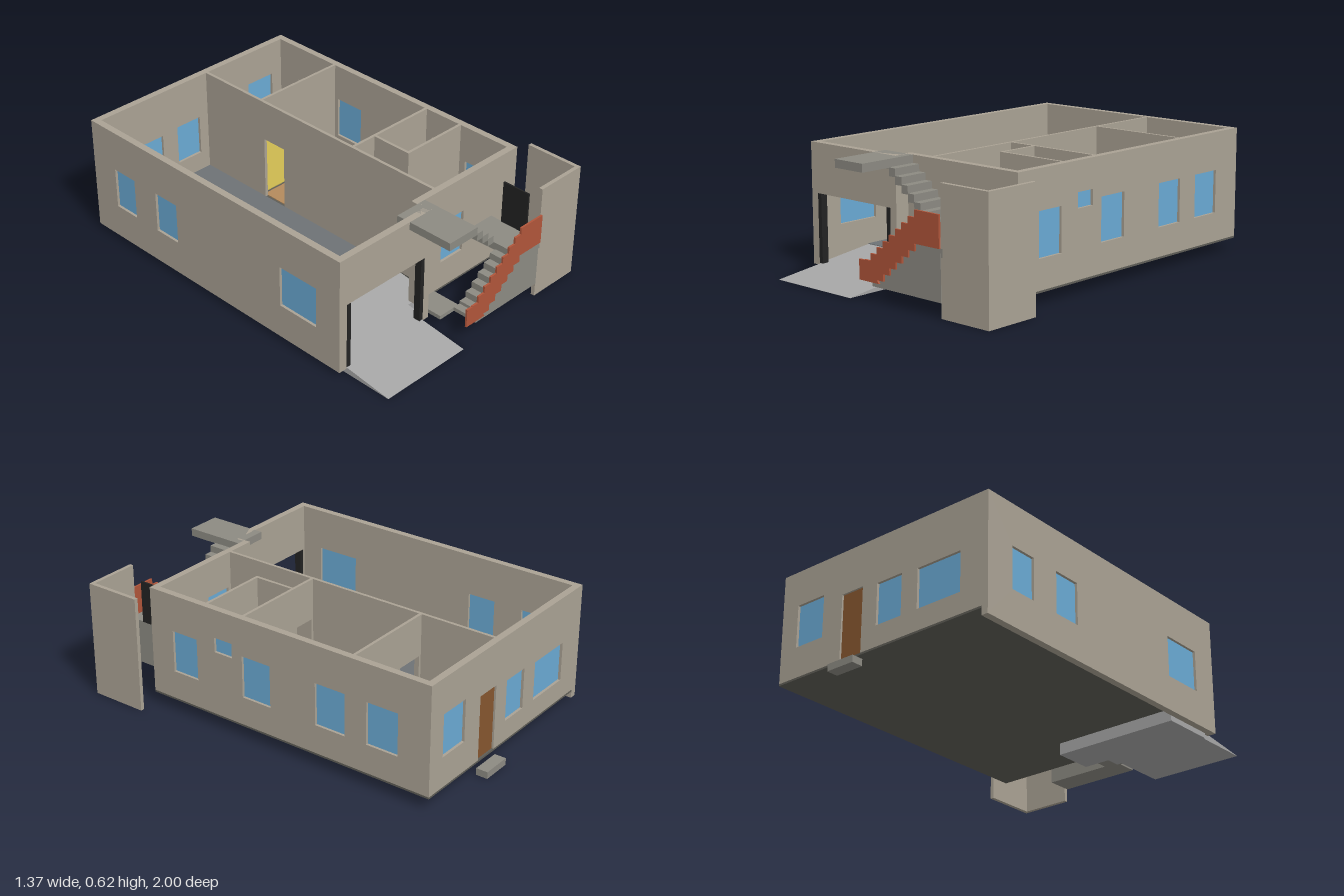
import * as THREE from 'three';

const COLORS = {
  wall: 0xaaa294, concrete: 0x8c8a82, ramp: 0xa6a6a6, slab: 0x5e5d56, parking: 0x6e7275, glass: 0x6aaad4,
  rail: 0xb0553a, black: 0x222222, wood: 0x86562f, kitchen: 0xccb850, hall: 0xb48a5c,
  bedroom: 0x4a74b4, bath: 0x3ea094, linen: 0xd2cdc0, white: 0xdcdcdc,
};
const mats = {};
for (const k in COLORS) mats[k] = new THREE.MeshStandardMaterial({ color: COLORS[k] });

export function createModel() {
  const root = new THREE.Group();
  const add = (name, mat, geo) => {
    const m = new THREE.Mesh(geo, mats[mat]);
    m.name = name;
    root.add(m);
    return m;
  };
  // Box given by its limits on each axis
  const box = (name, mat, x0, x1, y0, y1, z0, z1) => {
    const g = new THREE.BoxGeometry(x1 - x0, y1 - y0, z1 - z0);
    g.translate((x0 + x1) / 2, (y0 + y1) / 2, (z0 + z1) / 2);
    return add(name, mat, g);
  };
  // Extrude an outline: along 'x' it is drawn in x,y; along 'z' it is drawn in z,y
  const extrude = (name, mat, axis, pts, pos, depth, holes = []) => {
    const shape = new THREE.Shape(pts.map(p => new THREE.Vector2(...p)));
    for (const [a, b, c, d] of holes) {
      shape.holes.push(new THREE.Path([[a, c], [a, d], [b, d], [b, c]].map(p => new THREE.Vector2(...p))));
    }
    const g = new THREE.ExtrudeGeometry(shape, { depth, bevelEnabled: false });
    if (axis === 'x') g.translate(0, 0, pos);
    else g.rotateY(-Math.PI / 2).translate(pos + depth, 0, 0);
    return add(name, mat, g);
  };
  // Wall with glazed windows [a0,a1,y0,y1] and doorways [a0,a1,top] from the ground
  const TOP = 0.62, FLOOR = 0.07;
  const wall = (name, axis, a0, a1, pos, depth, windows = [], doors = [], y0 = FLOOR) => {
    const pts = [[a0, y0]];
    for (const [d0, d1, top] of doors) pts.push([d0, y0], [d0, top], [d1, top], [d1, y0]);
    pts.push([a1, y0], [a1, TOP], [a0, TOP]);
    extrude(name, 'wall', axis, pts, pos, depth, windows);
    const p = pos + depth / 2 - 0.004, q = p + 0.008;
    for (const [a, b, c, d] of windows) {
      if (axis === 'x') box('windowPane', 'glass', a, b, c, d, p, q);
      else box('windowPane', 'glass', p, q, c, d, a, b);
    }
  };

  // Outer walls
  const T = 0.035;
  wall('leftSideWall', 'z', -0.94, 0.745, -0.685, T,
    [[-0.78, -0.635, 0.2, 0.41], [-0.48, -0.33, 0.2, 0.41], [0.37, 0.6, 0.2, 0.41]], [], 0.025);
  wall('rightSideWall', 'z', -0.94, 0.67, 0.54, T,
    [[-0.77, -0.6, 0.215, 0.43], [-0.48, -0.315, 0.215, 0.43], [-0.055, 0.11, 0.215, 0.43],
      [0.17, 0.275, 0.4, 0.475], [0.385, 0.535, 0.215, 0.43]]);
  wall('backWall', 'x', -0.65, 0.54, -0.94, T,
    [[-0.53, -0.28, 0.175, 0.375], [-0.185, -0.035, 0.175, 0.385], [0.305, 0.475, 0.225, 0.44]],
    [[0.055, 0.185, 0.4]]);
  wall('garageFrontWall', 'x', -0.65, -0.105, 0.71, T, [], [[-0.64, -0.145, 0.375]], 0.025);
  wall('garageReturnWall', 'z', 0.635, 0.71, -0.12, 0.015);
  wall('frontWall', 'x', -0.12, 0.54, 0.635, T, [[0.055, 0.205, 0.215, 0.435]]);

  // Inner partitions
  wall('parkingPartition', 'z', -0.905, 0.635, 0.02, 0.016, [], [[-0.48, -0.34, 0.41]]);
  wall('kitchenPartition', 'x', 0.036, 0.54, -0.515, 0.015, [], [[0.05, 0.2, 0.41]]);
  wall('bedroomPartition', 'x', 0.036, 0.54, 0.115, 0.015, [], [[0.05, 0.16, 0.41]]);
  wall('bathSidePartition', 'z', 0.13, 0.35, 0.17, 0.015, [], [[0.22, 0.31, 0.41]]);
  wall('bathFrontPartition', 'x', 0.185, 0.54, 0.335, 0.015);

  // Floors
  box('parkingSlab', 'slab', -0.65, 0.02, 0.06, 0.07, -0.94, 0.425);
  box('roomSlab', 'slab', 0.02, 0.575, 0.06, 0.07, -0.94, 0.67);
  for (const [name, mat, x0, x1, z0, z1] of [
    ['parkingFloor', 'parking', -0.65, 0.02, -0.905, 0.425],
    ['kitchenFloor', 'kitchen', 0.036, 0.54, -0.905, -0.515],
    ['hallFloor', 'hall', 0.036, 0.54, -0.5, 0.115],
    ['bedroomSideFloor', 'bedroom', 0.036, 0.17, 0.13, 0.35],
    ['bedroomFloor', 'bedroom', 0.036, 0.54, 0.35, 0.635],
    ['bathFloor', 'bath', 0.185, 0.54, 0.13, 0.335],
  ]) box(name, mat, x0, x1, 0.07, 0.074, z0, z1);

  // Driveway ramp in three strips on one slope
  const rampY = z => 0.07 * (1 - z) / 0.575;
  for (const [x0, x1, z0, z1] of [[-0.648, -0.12, 0.425, 0.71], [-0.12, 0.02, 0.425, 0.635], [-0.64, -0.145, 0.71, 1]]) {
    const pts = [[z0, 0], [z1, 0], [z1, rampY(z1) + 0.001], [z0, rampY(z0) + 0.001]];
    extrude('ramp', 'ramp', 'z', pts, x0, x1 - x0);
  }
  for (const x of [-0.64, -0.167]) box('gatePost', 'black', x, x + 0.022, 0.035, 0.375, 0.712, 0.748);

  // Back door and its step
  box('backDoor', 'wood', 0.055, 0.185, 0.07, 0.4, -0.93, -0.915);
  box('backStep', 'concrete', 0.04, 0.195, 0, 0.035, -1, -0.94);

  // Lower flight with a solid side
  const RUN = 0.04, RISE = 0.034, LAND = 0.31;
  const lower = [[-0.03, 0.07]];
  for (let i = 0; i < 7; i++) {
    const y = Math.max(0.09, 0.072 + RISE * i);
    lower.push([-0.03 + RUN * i, y], [-0.03 + RUN * (i + 1), y]);
  }
  lower.push([0.25, LAND], [0.4, LAND], [0.4, 0.07]);
  extrude('lowerFlight', 'concrete', 'x', lower, 0.835, 0.132);
  box('stairLanding', 'concrete', 0.25, 0.41, 0.27, LAND, 0.67, 0.966);
  box('stairBase', 'concrete', -0.105, 0.02, 0.05, 0.07, 0.67, 0.82);

  // Upper flight of overlapping treads, and the top landing
  for (let i = 0; i < 9; i++) {
    const y = LAND + RISE * (i + 1), x = 0.25 - RUN * (i + 1);
    box('upperTread', 'concrete', x, x + RUN, y - 0.04, y, 0.67, 0.82);
  }
  box('topLanding', 'concrete', -0.25, -0.07, 0.58, TOP, 0.67, 0.98);

  // Stepped stair parapet
  const rail = [[-0.105, 0.09], [0.02, 0.09]];
  for (let i = 1; i <= 6; i++) {
    rail.push([-0.03 + RUN * i, 0.072 + RISE * i], [-0.03 + RUN * (i + 1), 0.072 + RISE * i]);
  }
  rail.push([0.25, LAND], [0.4, LAND], [0.4, 0.46]);
  for (let i = 0; i <= 8; i++) rail.push([0.25 - RUN * i, 0.46 - RISE * i], [0.25 - RUN * i, 0.46 - RISE * (i + 1)]);
  rail.splice(-1, 1, [-0.07, 0.185], [-0.105, 0.185]);
  extrude('stairParapet', 'rail', 'x', rail, 0.967, 0.01);

  // Corner screen walls with a door from the landing
  box('screenFront', 'wall', 0.4, 0.68, 0, 0.595, 0.945, 0.965);
  box('screenSide', 'wall', 0.66, 0.68, 0, 0.595, 0.67, 0.945);
  box('landingDoor', 'black', 0.405, 0.414, LAND, 0.53, 0.735, 0.885);

  // Bedroom furniture
  box('bedBase', 'linen', 0.055, 0.335, 0.074, 0.14, 0.445, 0.597);
  box('bedHeadboard', 'wood', 0.042, 0.055, 0.074, 0.2, 0.44, 0.602);
  box('bedFootboard', 'wood', 0.335, 0.348, 0.074, 0.16, 0.44, 0.602);
  box('pillow', 'linen', 0.06, 0.12, 0.14, 0.155, 0.46, 0.58);
  box('wardrobe', 'wood', 0.36, 0.53, 0.074, 0.36, 0.55, 0.632);

  // Bathroom fittings
  box('basin', 'white', 0.2, 0.26, 0.13, 0.19, 0.13, 0.195);
  box('toiletCistern', 'white', 0.31, 0.365, 0.074, 0.2, 0.13, 0.165);
  box('toiletBowl', 'white', 0.315, 0.36, 0.074, 0.14, 0.165, 0.235);
  box('showerTray', 'white', 0.39, 0.54, 0.074, 0.1, 0.14, 0.285);

  return root;
}
